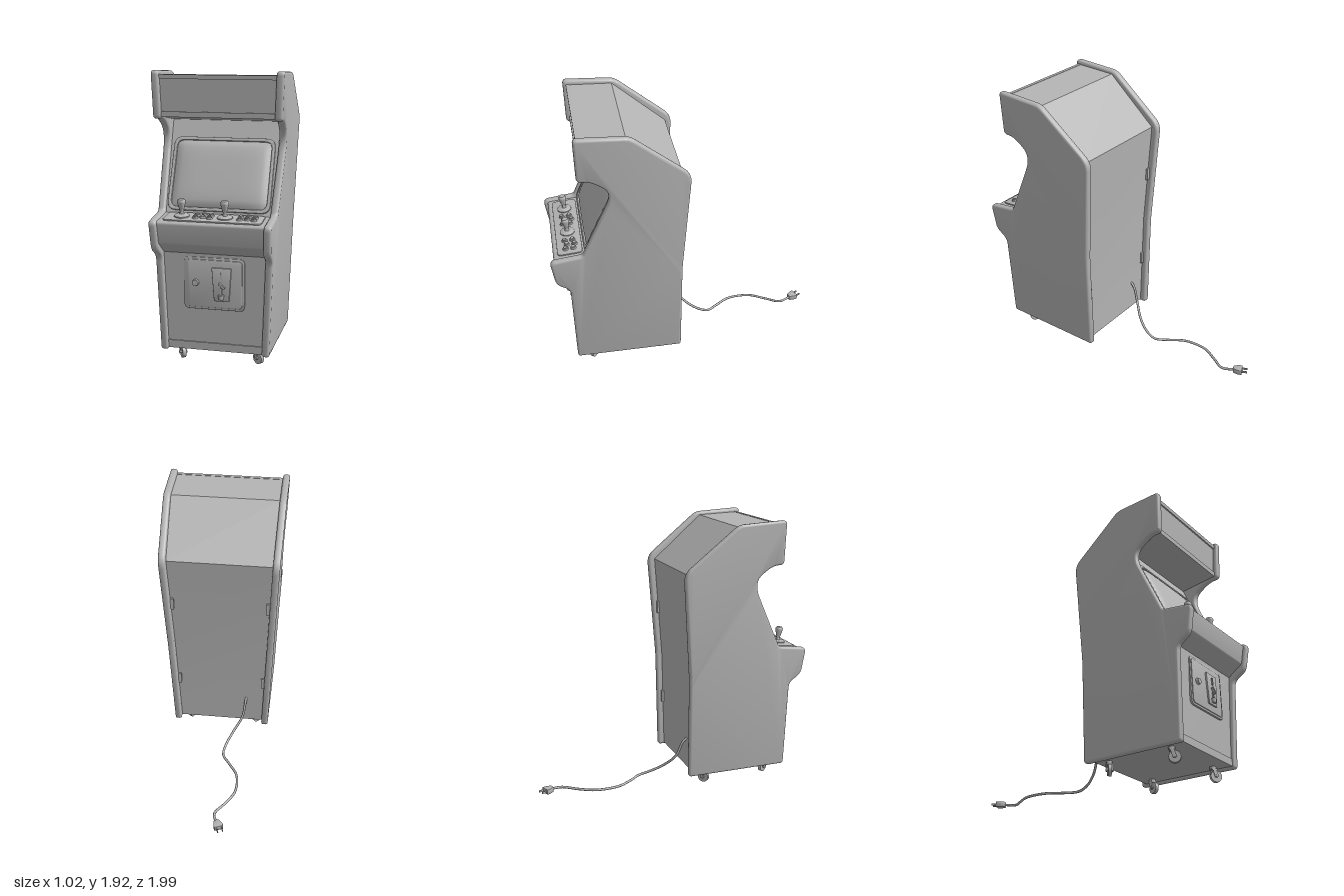
import * as THREE from 'three';
import { toCreasedNormals } from 'three/addons/utils/BufferGeometryUtils.js';

const grey = new THREE.MeshStandardMaterial({ color: 0xb4b4b4 });
grey.name = 'plain grey';

const T = 0.05; // side panel thickness
const half = (y) => 0.359 + 0.0375 * y; // cabinet half width flares upward

function add(parent, name, geometry, x = 0, y = 0, z = 0) {
  const mesh = new THREE.Mesh(geometry, grey);
  mesh.name = name;
  mesh.position.set(x, y, z);
  parent.add(mesh);
  return mesh;
}

function group(parent, name, x, y, z) {
  const g = new THREE.Group();
  g.name = name;
  g.position.set(x, y, z);
  parent.add(g);
  return g;
}

// Closed polygon of [x, y, radius] corners, rounded by curves
function roundedShape(corners, Type = THREE.Shape) {
  const s = new Type();
  const n = corners.length;
  corners.forEach(([x, y, r = 0], i) => {
    const p = new THREE.Vector2(x, y);
    const toward = (q) => {
      const d = new THREE.Vector2(q[0], q[1]).sub(p);
      return d.setLength(Math.min(r, d.length() * 0.48)).add(p);
    };
    const a = toward(corners[(i + n - 1) % n]);
    const b = toward(corners[(i + 1) % n]);
    if (i === 0) s.moveTo(a.x, a.y);
    else s.lineTo(a.x, a.y);
    if (r > 0) s.quadraticCurveTo(x, y, b.x, b.y);
  });
  s.closePath();
  return s;
}

const rect = (w, h, r, Type) => roundedShape(
  [[-w / 2, -h / 2, r], [w / 2, -h / 2, r], [w / 2, h / 2, r], [-w / 2, h / 2, r]], Type);

// Plate rising from z = 0 with a softened edge
function plate(shape, depth, bevel = 0.004) {
  const g = new THREE.ExtrudeGeometry(shape, {
    depth: depth - bevel, bevelEnabled: true, bevelSize: bevel, bevelThickness: bevel,
    bevelOffset: -bevel, bevelSegments: 2, curveSegments: 6,
  });
  return toCreasedNormals(g, 0.7);
}

function moveX(geometry, rule) {
  const p = geometry.attributes.position;
  for (let i = 0; i < p.count; i++) p.setX(i, rule(p.getX(i), p.getY(i)));
  return toCreasedNormals(geometry, 0.6);
}

// Full-width piece between the side panels, from a (z, y) cross-section
function between(corners) {
  const g = new THREE.ExtrudeGeometry(roundedShape(corners), { depth: 2, bevelEnabled: false, curveSegments: 5 });
  g.translate(0, 0, -1).rotateY(-Math.PI / 2);
  return moveX(g, (x, y) => x * (half(y) - T + 0.005));
}

function sidePanel(sign) {
  const b = 0.016;
  const profile = roundedShape([
    [0.761, 0.09, 0.02], [0.777, 0.73, 0.04], [0.868, 0.79, 0.04], [0.9, 0.985, 0.04],
    [0.68, 1.012, 0.02], [0.46, 1.5, 0.12], [0.6, 1.605, 0.07], [0.687, 1.608, 0.03],
    [0.695, 1.918, 0.03], [0.344, 1.9, 0.04], [-0.048, 1.585, 0.06], [0.004, 0.82, 0.04], [0.008, 0.09, 0.02],
  ]);
  const g = new THREE.ExtrudeGeometry(profile, {
    depth: T - 2 * b, bevelEnabled: true, bevelSize: b, bevelThickness: b,
    bevelOffset: -b, bevelSegments: 3, curveSegments: 8,
  });
  g.translate(0, 0, b - T / 2).rotateY(-Math.PI / 2);
  return moveX(g, (x, y) => x + sign * (half(y) - T / 2));
}

function buildScreen(cabinet) {
  const g = group(cabinet, 'screenUnit', 0, 1.24, 0.547);
  g.rotation.x = -0.433;
  const frame = rect(0.68, 0.5, 0.06);
  frame.holes.push(rect(0.635, 0.455, 0.05, THREE.Path));
  add(g, 'screenFrame', plate(frame, 0.016));
  // Bulging glass that falls to zero at its rim
  const glass = new THREE.PlaneGeometry(0.64, 0.46, 24, 18);
  const p = glass.attributes.position;
  const falloff = (t) => Math.sqrt(Math.max(0, 1 - t ** 4));
  for (let i = 0; i < p.count; i++) {
    p.setZ(i, 0.002 + 0.03 * falloff(p.getX(i) / 0.32) * falloff(p.getY(i) / 0.23));
  }
  glass.computeVertexNormals();
  add(g, 'screenGlass', glass);
}

function buildControls(cabinet) {
  const g = group(cabinet, 'controlDeck', 0, 0.991, 0.757);
  g.rotation.x = 0.09;
  add(g, 'controlPlate', plate(rect(0.64, 0.17, 0.03), 0.007, 0.003).rotateX(-Math.PI / 2));
  const stick = [[0, 0], [0.05, 0], [0.05, 0.01], [0.042, 0.016], [0.016, 0.02], [0.012, 0.035],
    [0.017, 0.055], [0.027, 0.095], [0.027, 0.106], [0.02, 0.115], [0, 0.118]]
    .map(([x, y]) => new THREE.Vector2(x, y));
  for (const x of [-0.211, 0.072]) {
    add(g, 'joystick', toCreasedNormals(new THREE.LatheGeometry(stick, 24), 0.7), x, 0.004, 0);
  }
  for (const cx of [-0.07, 0.217]) {
    for (let i = 0; i < 6; i++) {
      const x = cx + (i % 3 - 1) * 0.046;
      const z = (i < 3 ? -0.026 : 0.026) + (i % 3 === 1 ? -0.012 : 0);
      add(g, 'buttonRing', new THREE.CylinderGeometry(0.018, 0.021, 0.012, 16), x, 0.011, z);
      add(g, 'buttonCap', new THREE.CylinderGeometry(0.013, 0.013, 0.01, 16), x, 0.019, z);
    }
  }
}

function buildCoinDoor(cabinet) {
  const g = group(cabinet, 'coinDoor', 0, 0.56, 0.743);
  g.rotation.x = -0.0187;
  add(g, 'doorFrame', plate(rect(0.4, 0.345, 0.035), 0.012));
  add(g, 'doorLeaf', plate(rect(0.37, 0.315, 0.028), 0.017));
  add(g, 'doorLock', new THREE.CylinderGeometry(0.02, 0.023, 0.02, 20).rotateX(Math.PI / 2), -0.122, 0.005, 0.025);
  // Tapered coin plate with slot, lever and return cup
  const coin = roundedShape([[-0.048, -0.11, 0.006], [0.052, -0.11, 0.006], [0.065, 0.11, 0.006], [-0.065, 0.11, 0.006]]);
  add(g, 'coinPlate', plate(coin, 0.024), 0.05, 0, 0.004);
  add(g, 'coinSlot', new THREE.BoxGeometry(0.012, 0.05, 0.012), 0.05, 0.06, 0.03);
  add(g, 'coinLever', new THREE.BoxGeometry(0.05, 0.014, 0.02), 0.055, -0.005, 0.034).rotation.z = -0.7;
  add(g, 'coinChute', new THREE.BoxGeometry(0.012, 0.06, 0.012), 0.05, -0.05, 0.03);
  add(g, 'returnCup', new THREE.CylinderGeometry(0.02, 0.016, 0.03, 14), 0.05, -0.08, 0.032);
}

function buildCaster(cabinet, x, z, swivel) {
  const g = group(cabinet, 'caster', x, 0, z);
  g.rotation.y = swivel;
  add(g, 'wheel', new THREE.CylinderGeometry(0.04, 0.04, 0.024, 24).rotateZ(Math.PI / 2), 0, 0.04, 0.02);
  add(g, 'axle', new THREE.CylinderGeometry(0.01, 0.01, 0.052, 10).rotateZ(Math.PI / 2), 0, 0.04, 0.02);
  for (const s of [-1, 1]) {
    const arm = add(g, 'forkArm', new THREE.BoxGeometry(0.006, 0.055, 0.026), s * 0.019, 0.06, 0.012);
    arm.rotation.x = -0.3;
  }
  add(g, 'forkTop', new THREE.BoxGeometry(0.044, 0.01, 0.04), 0, 0.086, 0.005);
  add(g, 'stem', new THREE.CylinderGeometry(0.022, 0.022, 0.025, 14), 0, 0.1, 0);
}

function buildPowerCord(root) {
  const path = [[-0.11, 0.34, 0.05], [-0.09, 0.3, 0], [-0.06, 0.19, -0.04], [0.02, 0.1, -0.1], [0.09, 0.045, -0.18],
    [0.12, 0.022, -0.255], [0.09, 0.014, -0.345], [0.053, 0.014, -0.476], [0.09, 0.014, -0.635],
    [0.18, 0.014, -0.735], [0.265, 0.02, -0.82], [0.264, 0.032, -0.92]].map((p) => new THREE.Vector3(...p));
  add(root, 'powerCord', new THREE.TubeGeometry(new THREE.CatmullRomCurve3(path), 90, 0.009, 8));
  const plug = group(root, 'plug', 0.258, 0.033, -0.935);
  plug.rotation.y = 0.15;
  const body = roundedShape([[-0.018, -0.035, 0.01], [0.018, -0.035, 0.01], [0.033, 0.005, 0.005],
    [0.033, 0.03, 0.005], [-0.033, 0.03, 0.005], [-0.033, 0.005, 0.005]]);
  add(plug, 'plugBody', plate(body, 0.034).rotateX(-Math.PI / 2), 0, -0.017, 0);
  for (const s of [-1, 1]) add(plug, 'plugProng', new THREE.BoxGeometry(0.006, 0.014, 0.04), s * 0.018, 0, -0.046);
}

export function createModel() {
  const root = new THREE.Group();
  root.name = 'arcadeMachine';
  const cabinet = group(root, 'cabinet', 0.0966, 0, 0.026);
  cabinet.rotation.y = -Math.PI / 12;

  for (const s of [-1, 1]) add(cabinet, s > 0 ? 'leftSidePanel' : 'rightSidePanel', sidePanel(s));
  add(cabinet, 'body', between([
    [0.736, 0.105], [0.748, 0.755], [0.852, 0.835, 0.01], [0.874, 0.978, 0.02], [0.66, 0.997],
    [0.39, 1.58], [0.655, 1.622], [0.664, 1.888], [0.365, 1.877], [0.0, 1.565], [0.045, 0.82], [0.05, 0.105],
  ]));

  // Raised strips around the sign and along the foot
  add(cabinet, 'signTopStrip', between([[0.65, 1.862], [0.673, 1.862], [0.674, 1.89], [0.65, 1.89]]));
  add(cabinet, 'signBottomStrip', between([[0.64, 1.62], [0.665, 1.62], [0.666, 1.655], [0.64, 1.655]]));
  add(cabinet, 'kickStrip', between([[0.72, 0.103], [0.744, 0.103], [0.745, 0.155], [0.72, 0.155]]));

  buildScreen(cabinet);
  buildControls(cabinet);
  buildCoinDoor(cabinet);

  // Latches along both edges of the back
  for (const [y, z] of [[1.2, 0.017], [0.49, 0.043]]) {
    for (const s of [-1, 1]) {
      add(cabinet, 'backLatch', new THREE.BoxGeometry(0.024, 0.09, 0.02), s * (half(y) - T - 0.012), y, z);
    }
  }
  for (const [z, turn] of [[0.626, 0.75], [0.14, -0.6]]) {
    for (const s of [-1, 1]) buildCaster(cabinet, s * 0.255, z, turn + s * 0.2);
  }
  buildPowerCord(root);
  return root;
}
